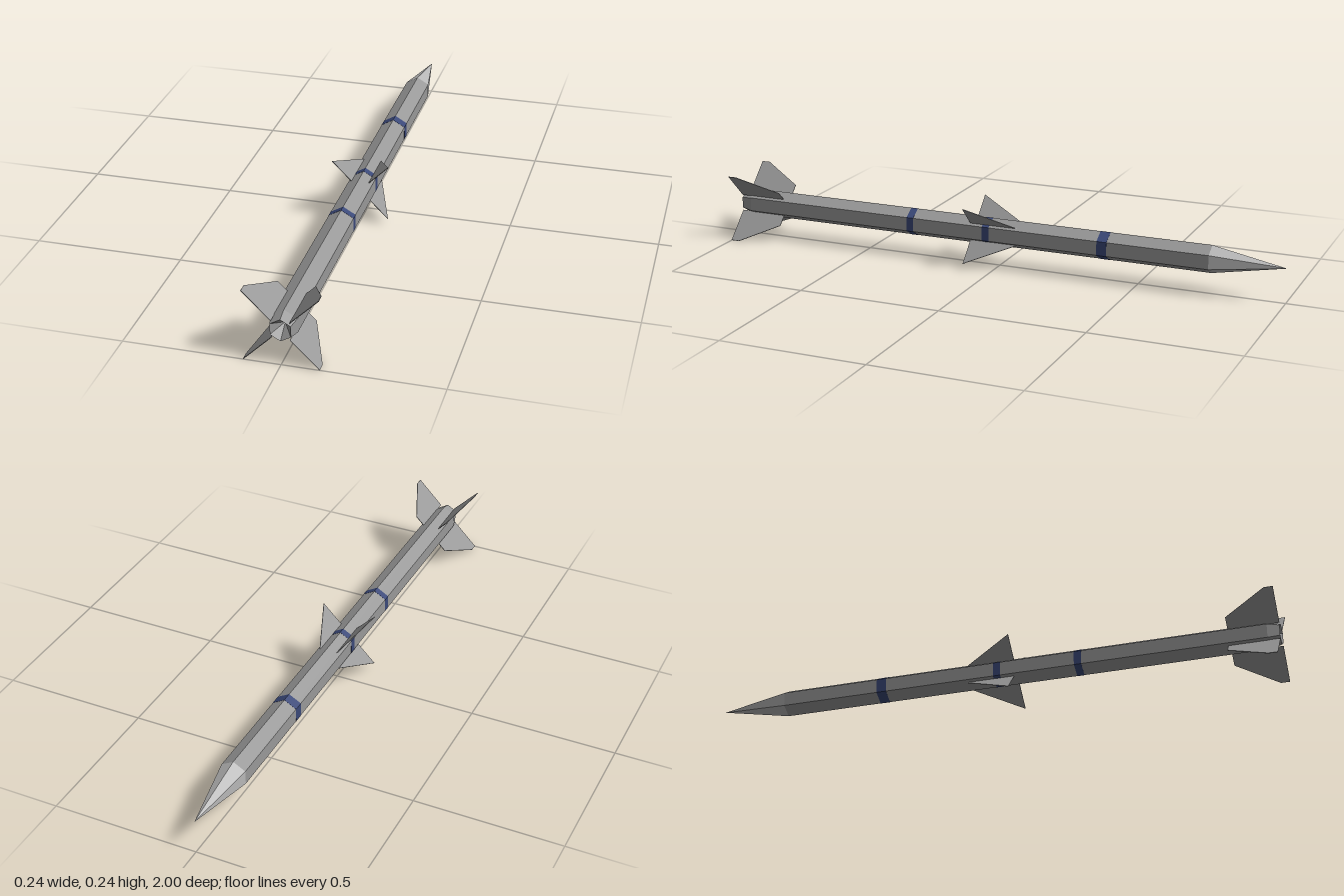
import * as THREE from 'three';

const SIDES = 6, RADIUS = 0.048, AXIS_Y = 0.1185;

const bodyGrey = new THREE.MeshStandardMaterial({ color: 0x999999 });
bodyGrey.name = 'bodyGrey';
const noseGrey = new THREE.MeshStandardMaterial({ color: 0xb8b8b8 });
noseGrey.name = 'noseGrey';
const bandBlue = new THREE.MeshStandardMaterial({ color: 0x3a4878 });
bandBlue.name = 'bandBlue';

// Faceted six-sided turned part along z, from [radius, z] pairs
function turned(name, profile, material) {
  const points = profile.map(([r, z]) => new THREE.Vector2(r, z));
  const geometry = new THREE.LatheGeometry(points, SIDES).rotateX(Math.PI / 2).toNonIndexed();
  geometry.computeVertexNormals();
  const mesh = new THREE.Mesh(geometry, material);
  mesh.name = name;
  return mesh;
}

// Four thin fins in an X arrangement, outline given as [distance from axis, z]
function finSet(name, outline) {
  const thickness = 0.002;
  const shape = new THREE.Shape(outline.map(([r, z]) => new THREE.Vector2(r, z)));
  const geometry = new THREE.ExtrudeGeometry(shape, { depth: thickness, bevelEnabled: false });
  geometry.translate(0, 0, -thickness / 2).rotateX(Math.PI / 2);
  const set = new THREE.Group();
  set.name = name + 's';
  for (let i = 0; i < 4; i++) {
    const fin = new THREE.Mesh(geometry, bodyGrey);
    fin.name = name;
    fin.rotation.z = Math.PI / 4 + i * Math.PI / 2;
    set.add(fin);
  }
  return set;
}

export function createModel() {
  const model = new THREE.Group();
  model.name = 'missile';
  const rocket = new THREE.Group();
  rocket.name = 'airframe';
  rocket.position.y = AXIS_Y;
  model.add(rocket);

  // Pointed nose, then the tube with tapered tail and recessed nozzle
  rocket.add(turned('nose', [[0, -1], [RADIUS, -0.75]], noseGrey));
  rocket.add(turned('body', [[RADIUS, -0.75], [RADIUS, 0.96], [0.037, 1], [0, 0.95]], bodyGrey));

  // Painted bands
  for (const [start, end] of [[-0.4, -0.365], [0.025, 0.05], [0.31, 0.335]]) {
    const r = RADIUS + 0.0006;
    rocket.add(turned('band', [[RADIUS - 0.001, start], [r, start], [r, end], [RADIUS - 0.001, end]], bandBlue));
  }

  // Triangular middle fins and clipped tail fins
  const d = Math.SQRT2;
  rocket.add(finSet('middleFin', [[0.028 * d, -0.08], [0.097 * d, 0.097], [0.028 * d, 0.097]]));
  rocket.add(finSet('tailFin', [
    [0.029 * d, 0.83], [0.06 * d, 0.83], [0.118 * d, 0.97], [0.118 * d, 1], [0.029 * d, 1],
  ]));
  return model;
}
